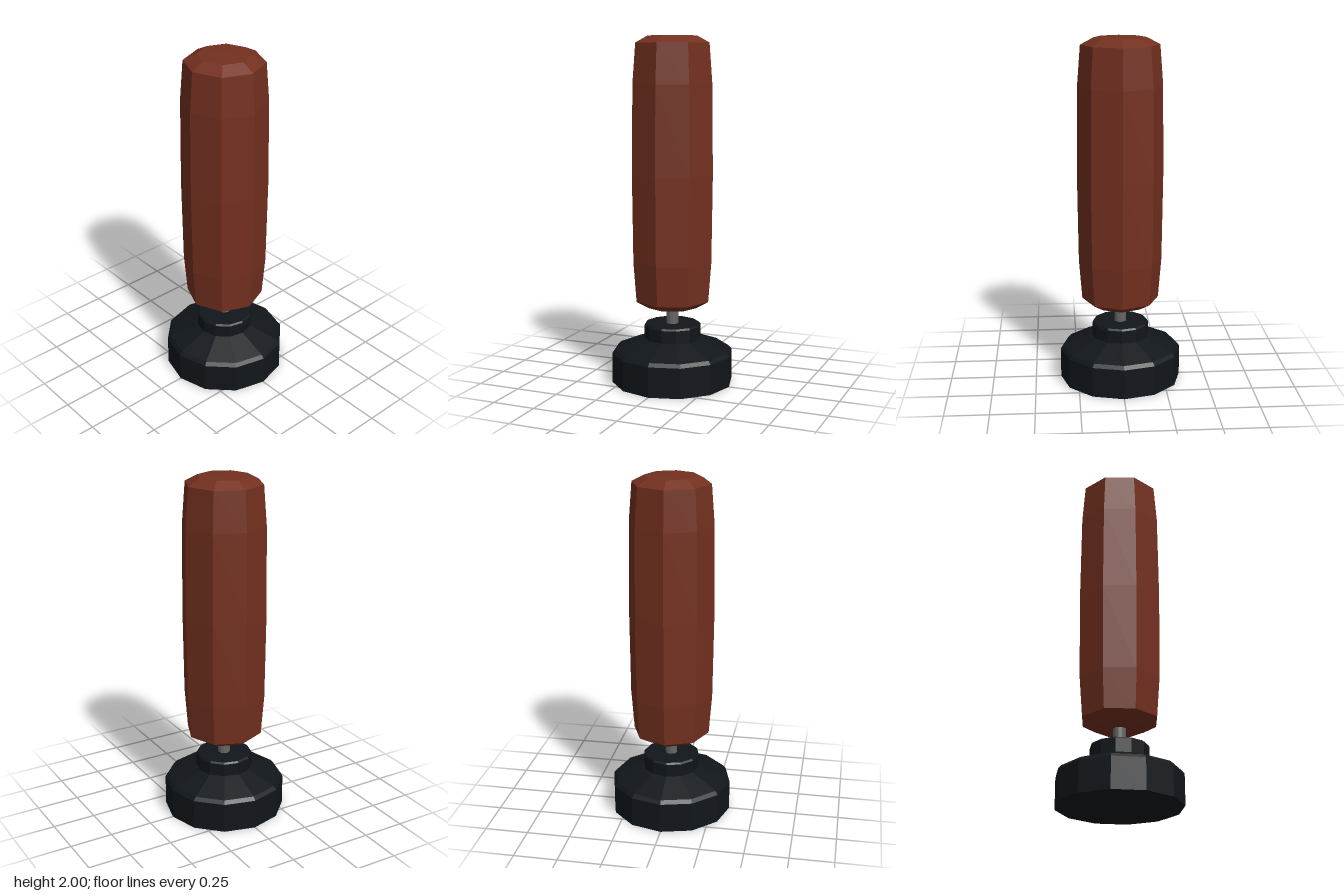
import * as THREE from 'three';

// Faceted turned part from [radius, height] points, bottom to top
function turned(name, points, sides, color) {
  const profile = points.map(([r, y]) => new THREE.Vector2(r, y));
  const material = new THREE.MeshStandardMaterial({ color, flatShading: true });
  const mesh = new THREE.Mesh(new THREE.LatheGeometry(profile, sides), material);
  mesh.name = name;
  return mesh;
}

export function createModel() {
  const group = new THREE.Group();
  group.name = 'punchingBag';

  // Weighted foot with sloping shoulder and raised collar
  group.add(turned('base', [
    [0, 0], [0.352, 0], [0.352, 0.175], [0.335, 0.195],
    [0.165, 0.26], [0.165, 0.335], [0.157, 0.345], [0, 0.345],
  ], 12, 0x11161b));

  // Short post joining foot and bag
  group.add(turned('post', [[0, 0.33], [0.035, 0.33], [0.035, 0.47], [0, 0.47]], 12, 0x666666));

  // Eight-sided bag, slightly bulged, with chamfered ends
  group.add(turned('bag', [
    [0, 0.445], [0.148, 0.445], [0.222, 0.488], [0.24, 0.72], [0.246, 1.22],
    [0.24, 1.73], [0.222, 1.957], [0.148, 1.996], [0, 2],
  ], 8, 0x73301f));

  return group;
}
